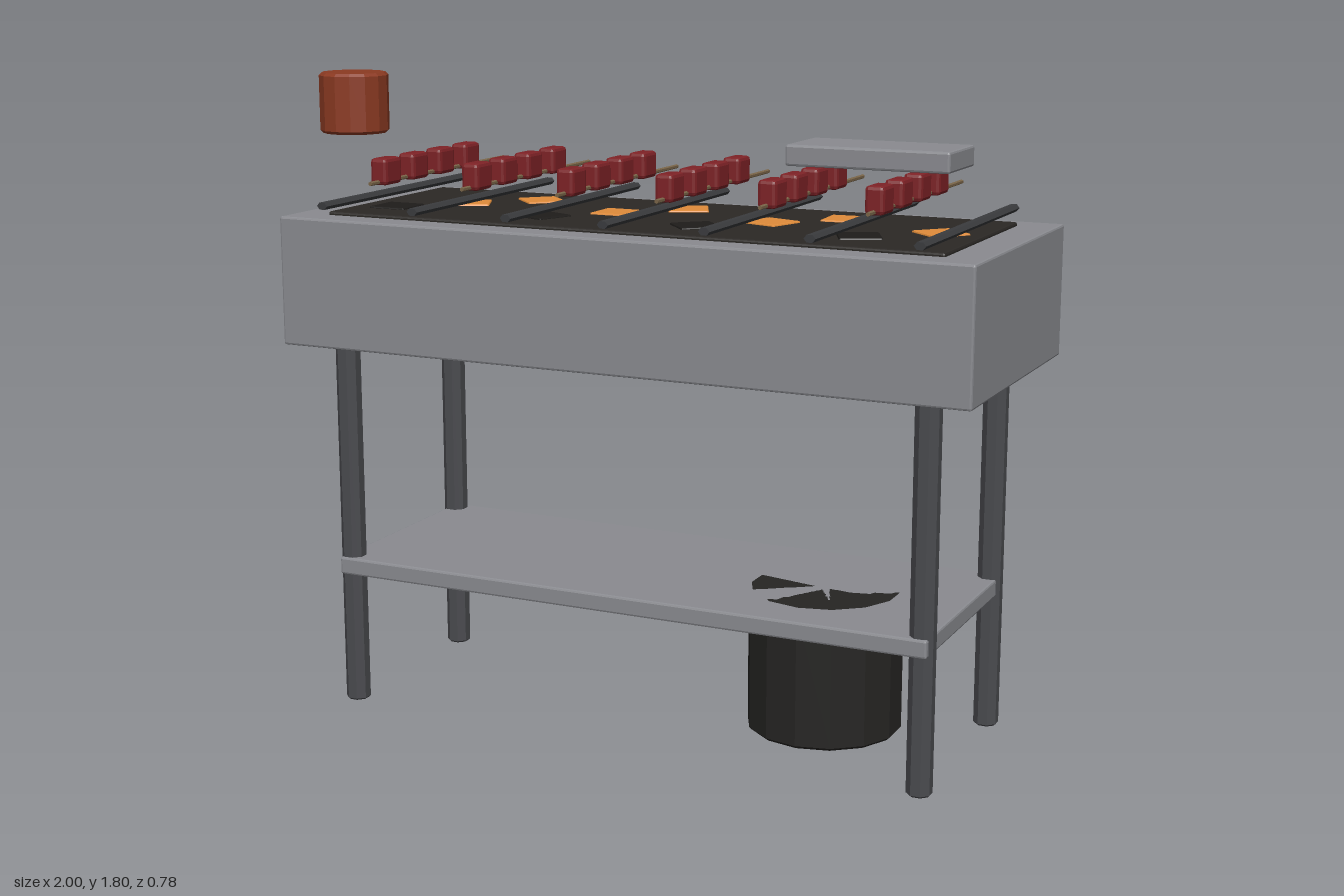
import * as THREE from 'three';
import { RoundedBoxGeometry } from 'three/addons/geometries/RoundedBoxGeometry.js';

const mat = (color) => new THREE.MeshStandardMaterial({ color, flatShading: true });

export function createModel() {
  const group = new THREE.Group();
  const steel = mat(0x8a8b90), iron = mat(0x4a4b4f), rail = mat(0x3a3b3e), ash = mat(0x2b2825);
  const char = mat(0x1e1c1a), ember = mat(0xe08c3a), meat = mat(0x7e2226);
  const wood = mat(0x7a6548), clay = mat(0x8c3a22), black = mat(0x262523);

  const add = (name, geometry, material, x, y, z) => {
    const mesh = new THREE.Mesh(geometry, material);
    mesh.name = name;
    mesh.position.set(x, y, z);
    group.add(mesh);
    return mesh;
  };
  // box with a narrow bevel
  const box = (w, h, d, bevel = 0.006) => new RoundedBoxGeometry(w, h, d, 1, bevel);
  // upright bevelled cylinder, centred on its height
  const drum = (r, h, sides, b = 0.008) => new THREE.LatheGeometry([
    [0, -h / 2], [r - b, -h / 2], [r, -h / 2 + b], [r, h / 2 - b], [r - b, h / 2], [0, h / 2],
  ].map(([x, y]) => new THREE.Vector2(x, y)), sides);

  // fire box on four legs, with a lower shelf
  add('fireBox', box(2, 0.36, 0.78), steel, 0, 1.23, 0);
  add('shelf', box(1.76, 0.05, 0.65), steel, 0, 0.405, 0);
  const legGeometry = drum(0.035, 1.06, 8, 0.005).rotateY(Math.PI / 8);
  for (const x of [-0.857, 0.857]) {
    for (const z of [-0.286, 0.286]) add('leg', legGeometry, iron, x, 0.53, z);
  }

  // bucket standing under the shelf
  add('bucket', drum(0.214, 0.395, 14), black, 0.48, 0.2325, 0);

  // coal bed with glowing and burnt pieces: x, z, turn in degrees
  add('coalBed', box(1.79, 0.05, 0.61), ash, 0, 1.395, 0);
  const coalGeometry = box(0.112, 0.03, 0.112, 0.004);
  const scatter = (name, material, list) => list.forEach(([x, z, turn]) => {
    add(name, coalGeometry, material, x, 1.41, z).rotation.y = THREE.MathUtils.degToRad(turn);
  });
  scatter('ember', ember, [
    [-0.62, -0.005, 25], [-0.465, -0.145, 45], [-0.155, -0.005, 0], [-0.005, -0.15, 25],
    [0.305, -0.005, -18], [0.465, -0.145, 4], [0.78, -0.005, 48],
  ]);
  scatter('coal', char, [[-0.775, 0.14, 0], [-0.31, 0.14, -22], [0.15, 0.14, 42], [0.61, 0.14, 25]]);

  // flattened grate bars across the top
  const barGeometry = new THREE.CylinderGeometry(0.016, 0.016, 0.78, 6)
    .rotateY(Math.PI / 6).rotateX(Math.PI / 2).scale(1, 0.7, 1);
  for (let i = -3; i <= 3; i++) add('grateBar', barGeometry, rail, i * 0.286, 1.446, 0);

  // skewers, each with four meat cubes
  const rodGeometry = new THREE.CylinderGeometry(0.006, 0.006, 0.735, 6).rotateX(Math.PI / 2);
  const cubeGeometry = box(0.052, 0.073, 0.082, 0.01);
  for (let i = 0; i < 6; i++) {
    const x = (i - 2.5) * 0.286;
    add('skewerRod', rodGeometry, wood, x, 1.512, 0);
    for (let j = -1; j <= 2; j++) add('meatCube', cubeGeometry, meat, x, 1.54, j * 0.143);
  }

  // sauce pot and serving tray
  add('saucePot', drum(0.095, 0.165, 14), clay, -0.83, 1.72, 0.257);
  add('tray', box(0.425, 0.053, 0.193), steel, 0.713, 1.648, 0.286);

  return group;
}
